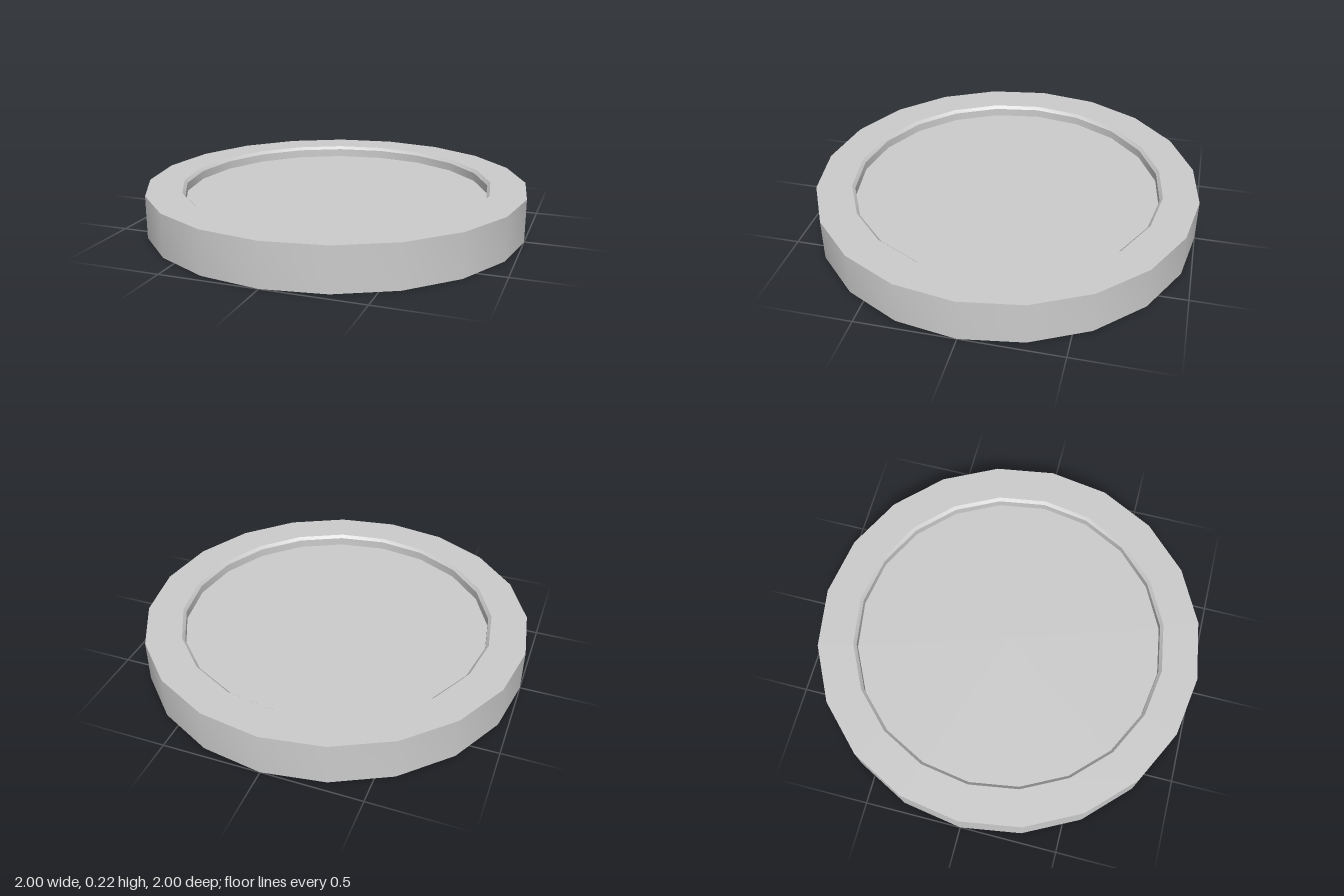
import * as THREE from 'three';
import { toCreasedNormals } from 'three/addons/utils/BufferGeometryUtils.js';

const SIDES = 20;
const HEIGHT = 0.222;

export function createModel() {
  const model = new THREE.Group();
  model.name = 'rimmedDisc';
  const material = new THREE.MeshStandardMaterial({ color: 0xcccccc });

  // Outer ring: closed profile with small chamfers on both inner edges
  const outer = 1, lip = 0.815, inner = 0.8, chamfer = 0.016;
  const profile = [
    [outer, 0], [outer, HEIGHT], [lip, HEIGHT], [inner, HEIGHT - chamfer],
    [inner, chamfer], [lip, 0], [outer, 0],
  ].map(([r, y]) => new THREE.Vector2(r, y));
  const ringGeometry = toCreasedNormals(new THREE.LatheGeometry(profile, SIDES), Math.PI / 6);
  const ring = new THREE.Mesh(ringGeometry, material);
  ring.name = 'rim';
  model.add(ring);

  // Centre plate, recessed equally from top and bottom, edge set into the ring
  const recess = 0.06;
  const plate = new THREE.Mesh(
    new THREE.CylinderGeometry(0.805, 0.805, HEIGHT - 2 * recess, SIDES), material);
  plate.position.y = HEIGHT / 2;
  plate.name = 'centrePlate';
  model.add(plate);

  return model;
}
